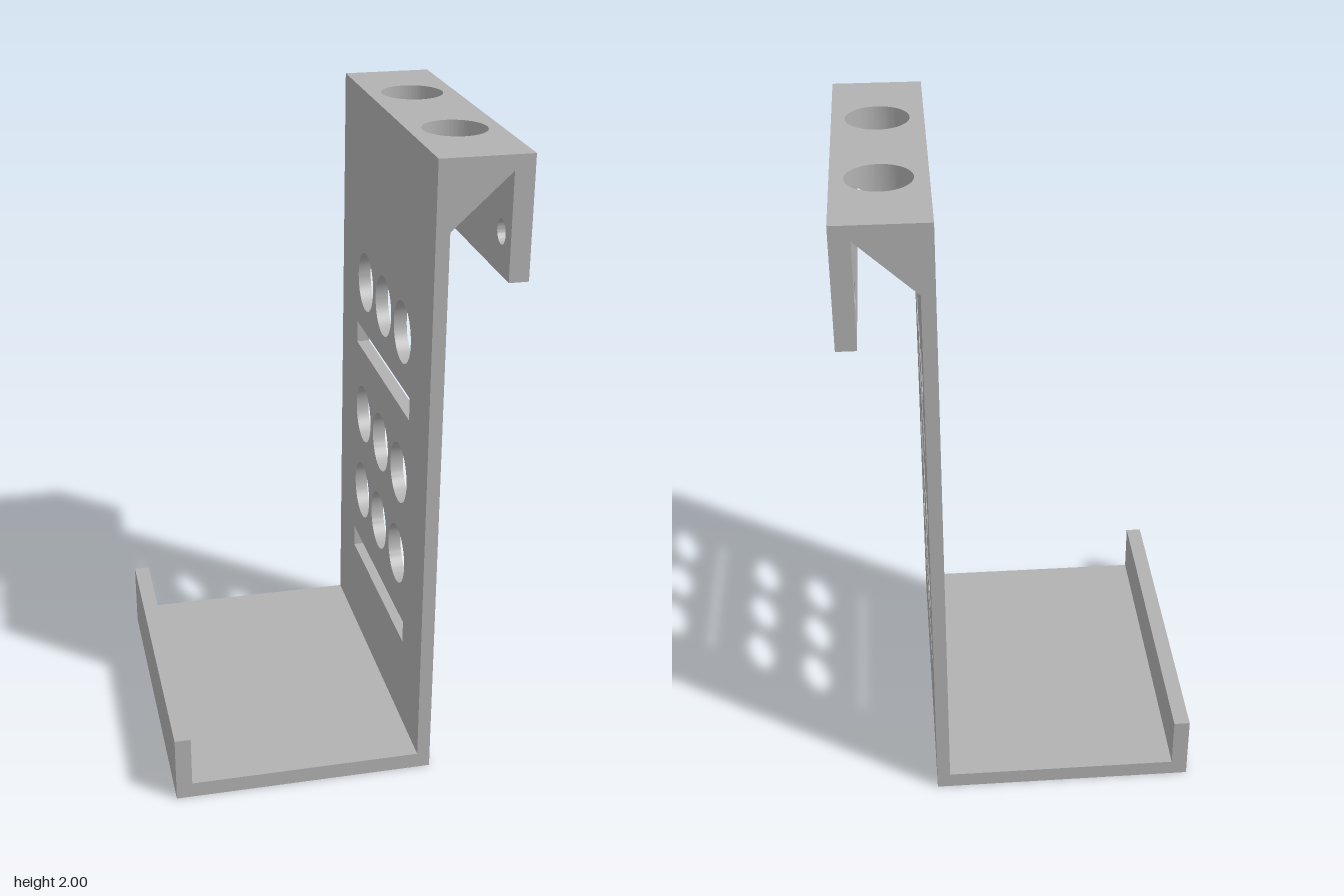
import * as THREE from 'three';
import { toCreasedNormals } from 'three/addons/utils/BufferGeometryUtils.js';

const D = 0.539;                       // half depth along z
const WALL = [0.247, 0.288];           // back wall, x range
const LIP = [0.465, 0.525];            // hook lip, x range
const FLOOR = 1.894;                   // bottom of the blind top holes
const HOLE = { x: 0.387, z: 0.229, r: 0.097 };
const slope = (x) => 1.79 + (x - WALL[1]) * (FLOOR - 1.79) / (0.4 - WALL[1]);

const polygon = (pts) => new THREE.Shape(pts.map(([x, y]) => new THREE.Vector2(x, y)));
const rect = (x0, y0, x1, y1) => polygon([[x0, y0], [x1, y0], [x1, y1], [x0, y1]]);
const circle = (x, y, r) => new THREE.Path().absarc(x, y, r, 0, Math.PI * 2, true);
const extrude = (shape, depth) =>
  new THREE.ExtrudeGeometry(shape, { depth, bevelEnabled: false, curveSegments: 32 });

export function createModel() {
  const group = new THREE.Group();
  const grey = new THREE.MeshStandardMaterial({ color: 0xb2b2b2 });
  grey.name = 'grey';

  const add = (name, geometry, parent = group) => {
    const mesh = new THREE.Mesh(toCreasedNormals(geometry, 0.5), grey);
    mesh.name = name;
    parent.add(mesh);
  };
  // upright plate facing along x
  const plate = (name, shape, [x0, x1]) =>
    add(name, extrude(shape, x1 - x0).rotateY(Math.PI / 2).translate(x0, 0, 0));
  // side profile swept across the whole depth
  const sweep = (name, pts) => add(name, extrude(polygon(pts), 2 * D).translate(0, 0, -D));

  // shelf with its raised edge
  sweep('shelf', [[-0.53, 0], [WALL[0], 0], [WALL[0], 0.05], [-0.48, 0.05], [-0.48, 0.215], [-0.53, 0.215]]);

  // back wall with round holes and slots
  const wall = rect(-D, 0, D, FLOOR);
  for (const y of [1.38, 0.905, 0.615])
    for (const z of [-0.227, 0, 0.227]) wall.holes.push(circle(z, y, 0.097));
  for (const [y0, y1] of [[1.132, 1.205], [0.343, 0.416]]) wall.holes.push(rect(-0.33, y0, 0.33, y1));
  plate('backWall', wall, WALL);

  // sloped brace under the hook
  sweep('brace', [[WALL[1], 1.79], [0.4, FLOOR], [WALL[1], FLOOR]]);

  // hanging lip with two screw holes
  const lip = rect(-D, 1.63, D, FLOOR);
  for (const z of [-0.455, 0.455]) lip.holes.push(circle(z, 1.755, 0.037));
  plate('hookLip', lip, LIP);

  // hook top: bands in x, each split into columns between the two round holes
  const top = new THREE.Group();
  top.name = 'hookTop';
  group.add(top);
  const { x: cx, z: cz, r } = HOLE;
  const bands = [WALL[0], cx - r, 0.4, LIP[0], cx + r, LIP[1]];
  const half = (x) => Math.sqrt(Math.max(0, r * r - (x - cx) ** 2));
  const edges = [() => -D, (x) => -cz - half(x), (x) => -cz + half(x),
    (x) => cz - half(x), (x) => cz + half(x), () => D];
  for (let b = 0; b < 5; b++) {
    const x0 = bands[b], x1 = bands[b + 1];
    const holed = b > 0 && b < 4;
    const n = holed ? 16 : 1;
    // even steps in angle around the hole
    const angle = (x) => Math.acos(THREE.MathUtils.clamp((cx - x) / r, -1, 1));
    const xs = Array.from({ length: n + 1 }, (_, i) => {
      if (i === 0) return x0;
      if (i === n) return x1;
      return cx - r * Math.cos(THREE.MathUtils.lerp(angle(x0), angle(x1), i / n));
    });
    const columns = holed ? [[0, 1], [2, 3], [4, 5]] : [[0, 5]];
    for (const [lo, hi] of columns) {
      const pts = xs.map((x) => [x, edges[lo](x)])
        .concat([...xs].reverse().map((x) => [x, edges[hi](x)]));
      const geometry = extrude(polygon(pts), 2 - FLOOR);
      if (b === 2) {
        // the underside follows the brace slope
        const p = geometry.attributes.position;
        for (let i = 0; i < p.count; i++)
          if (p.getZ(i) < 1e-6) p.setZ(i, slope(p.getX(i)) - FLOOR);
      }
      add('hookTopSection', geometry.rotateX(-Math.PI / 2).translate(0, FLOOR, 0), top);
    }
  }
  return group;
}
